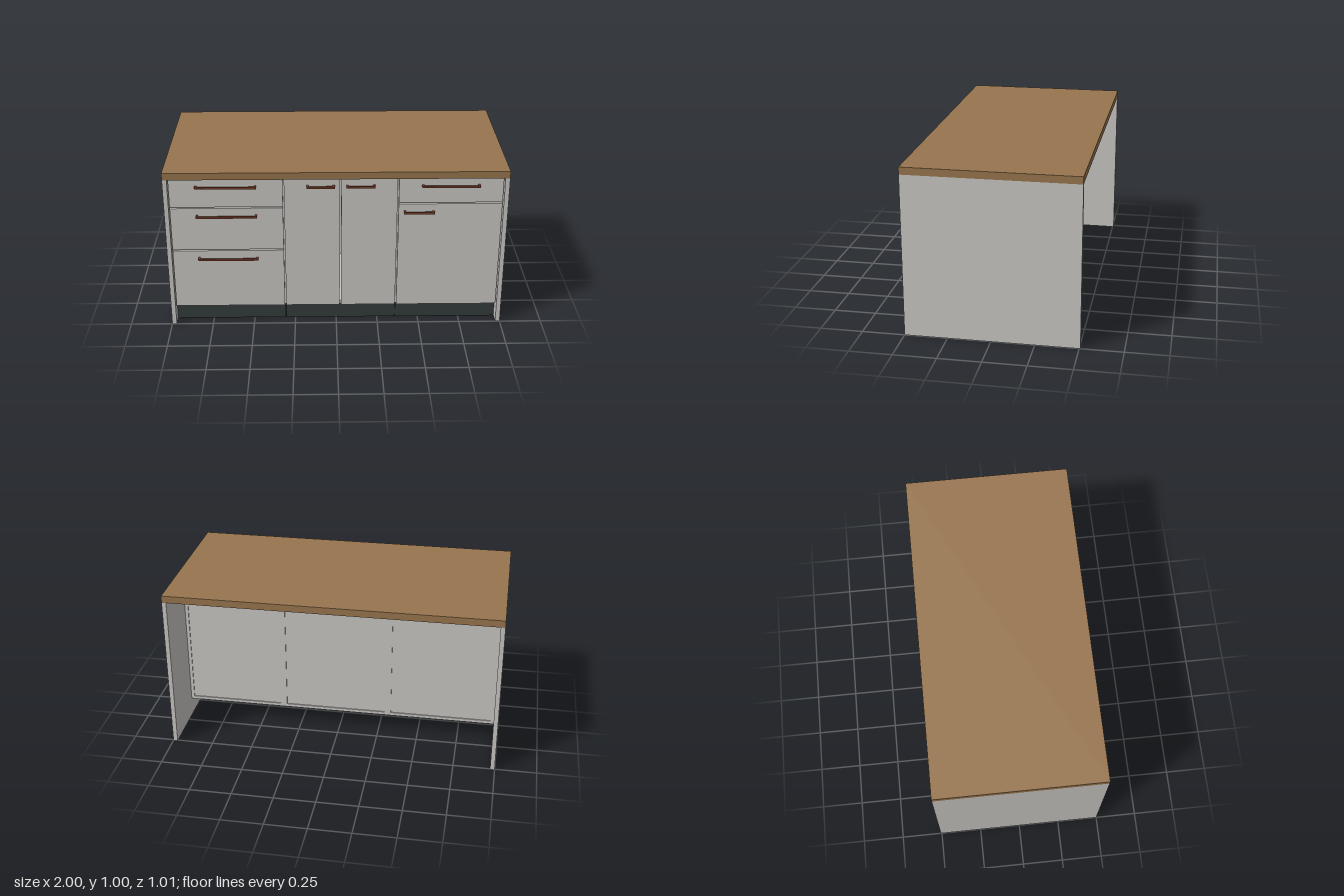
import * as THREE from 'three';

export function createModel() {
  const model = new THREE.Group();
  const mat = (name, color) => {
    const m = new THREE.MeshStandardMaterial({ color });
    m.name = name;
    return m;
  };
  const paint = mat('pale grey laminate', 0xc9c7c3);
  const wood = mat('oak worktop', 0x98754e);
  const dark = mat('dark plinth', 0x343c3a);
  const copper = mat('copper handle', 0x7a3e28);

  // Box given by its minimum and maximum on each axis
  function box(name, material, [x0, x1], [y0, y1], [z0, z1], parent = model) {
    const mesh = new THREE.Mesh(new THREE.BoxGeometry(x1 - x0, y1 - y0, z1 - z0), material);
    mesh.position.set((x0 + x1) / 2, (y0 + y1) / 2, (z0 + z1) / 2);
    mesh.name = name;
    parent.add(mesh);
    return mesh;
  }

  const TOP = 0.957, BASE = 0.112, BACK = -0.507, FRONT = 0.5;
  const CARCASS_BACK = -0.17, CARCASS_FRONT = 0.458, DOOR_FRONT = 0.48;
  const T = 0.02;

  // Worktop and the two full-depth end panels
  box('worktop', wood, [-1, 1], [TOP, 1], [BACK, FRONT]);
  box('rightEndPanel', paint, [-1, -0.973], [0, TOP], [BACK, FRONT]);
  box('leftEndPanel', paint, [0.973, 1], [0, TOP], [BACK, FRONT]);

  // Three cabinets, each with sides, top, bottom, inset back and plinth
  const edges = [-0.973, -0.307, 0.36, 0.973];
  for (let i = 0; i < 3; i++) {
    const a = edges[i], b = edges[i + 1];
    const cabinet = new THREE.Group();
    cabinet.name = 'cabinet' + (i + 1);
    model.add(cabinet);
    const depth = [CARCASS_BACK, CARCASS_FRONT];
    box('cabinetSide', paint, [a, a + T], [BASE, TOP], depth, cabinet);
    box('cabinetSide', paint, [b - T, b], [BASE, TOP], depth, cabinet);
    box('cabinetBottom', paint, [a + T, b - T], [BASE, BASE + T], depth, cabinet);
    box('cabinetTop', paint, [a + T, b - T], [TOP - T, TOP], depth, cabinet);
    box('cabinetBack', paint, [a + T, b - T], [BASE + T, TOP - T],
      [CARCASS_BACK + 0.006, CARCASS_BACK + 0.016], cabinet);
    box('plinth', dark, [a + 0.001, b - 0.001], [0, BASE], [0.413, 0.43], cabinet);
  }

  // Drawer fronts and doors, separated by narrow gaps
  const G = 0.004;
  const front = (name, a, b, y0, y1) =>
    box(name, paint, [a + G, b - G], [y0 + G, y1 - G], [CARCASS_FRONT, DOOR_FRONT]);
  const [x0, x1, x2, x3] = edges;
  front('drawerFront', x0, x1, BASE, 0.495);
  front('drawerFront', x0, x1, 0.495, 0.772);
  front('drawerFront', x0, x1, 0.772, TOP);
  front('door', x1, 0.025, BASE, TOP);
  front('door', 0.025, x2, BASE, TOP);
  front('door', x2, x3, BASE, 0.793);
  front('drawerFront', x2, x3, 0.793, TOP);

  // Bar handles on two end posts: [left end, right end, height]
  const handles = [
    [-0.818, -0.462, 0.907], [-0.818, -0.462, 0.72], [-0.818, -0.462, 0.442],
    [-0.173, -0.009, 0.907], [0.058, 0.225, 0.907],
    [0.496, 0.832, 0.907], [0.394, 0.574, 0.74],
  ];
  for (const [a, b, y] of handles) {
    const handle = new THREE.Group();
    handle.name = 'handle';
    model.add(handle);
    const h = [y - 0.006, y + 0.006];
    box('handleBar', copper, [a, b], h, [0.497, 0.507], handle);
    box('handlePost', copper, [a, a + 0.012], h, [DOOR_FRONT, 0.497], handle);
    box('handlePost', copper, [b - 0.012, b], h, [DOOR_FRONT, 0.497], handle);
  }
  return model;
}
